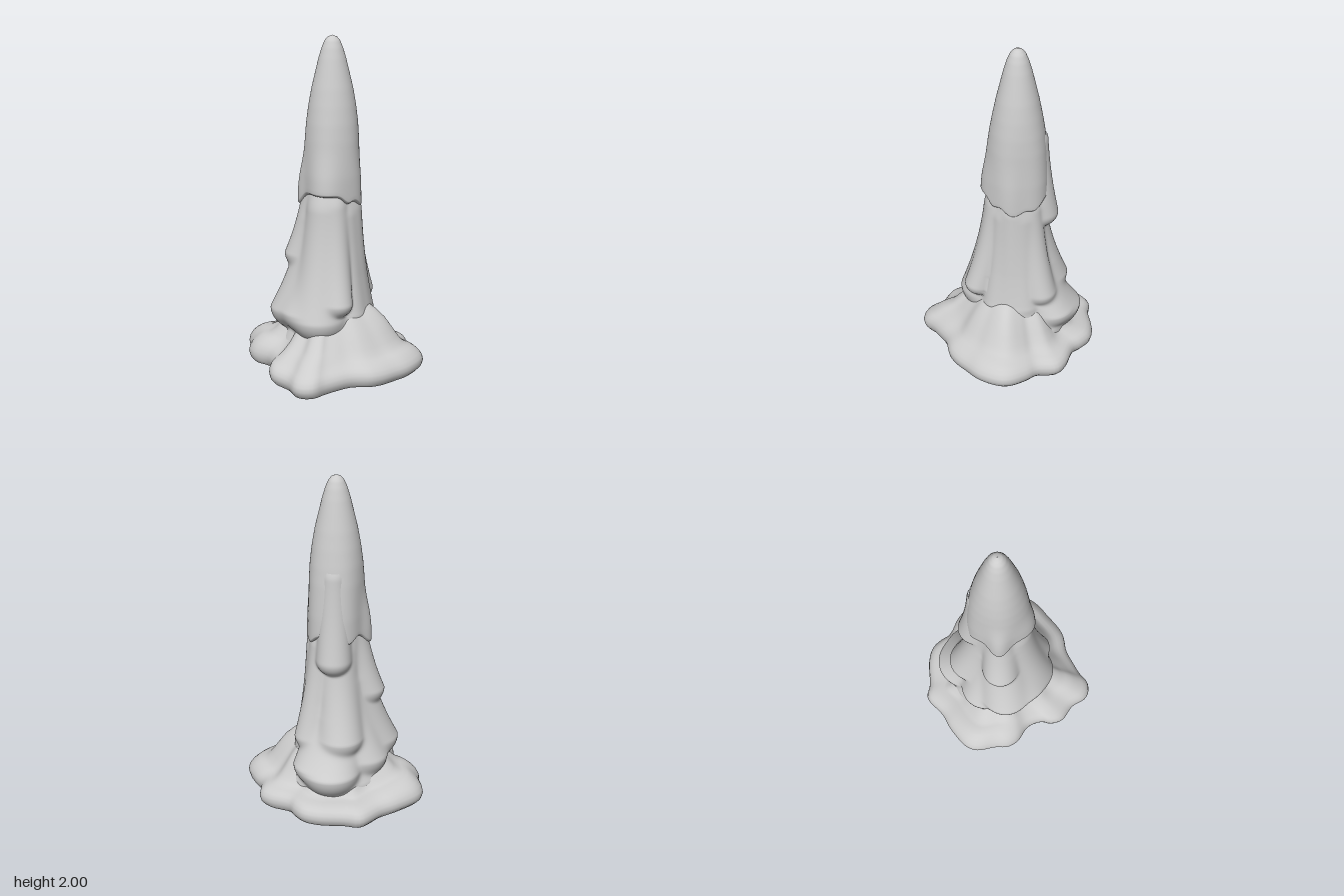
import * as THREE from 'three';

const CX = -0.012, CZ = -0.06; // axis of the column
const COLS = 144;
const { smoothstep, clamp } = THREE.MathUtils;

// Linear lookup in a list of [key, value] pairs (ascending keys)
function lookup(list, k) {
  if (k <= list[0][0]) return list[0][1];
  for (let i = 1; i < list.length; i++) {
    const [k0, v0] = list[i - 1], [k1, v1] = list[i];
    if (k <= k1) return v0 + (v1 - v0) * (k - k0) / (k1 - k0);
  }
  return list[list.length - 1][1];
}

// Signed angle difference wrapped to -PI..PI
const wrap = a => Math.atan2(Math.sin(a), Math.cos(a));
const rad = d => d * Math.PI / 180;
const bump = (a, deg, width) => Math.exp(-((wrap(a - rad(deg)) / rad(width)) ** 2));

// Closed surface of rings from bottom to top; point(u, row) gives [x, y, z]
function loft(rows, point) {
  const pos = [], idx = [];
  for (let i = 0; i < rows; i++) {
    for (let j = 0; j < COLS; j++) pos.push(...point(j / COLS, i));
  }
  for (let i = 0; i < rows - 1; i++) {
    for (let j = 0; j < COLS; j++) {
      const a = i * COLS + j, b = i * COLS + (j + 1) % COLS;
      idx.push(a, b, a + COLS, b, b + COLS, a + COLS);
    }
  }
  const g = new THREE.BufferGeometry();
  g.setAttribute('position', new THREE.Float32BufferAttribute(pos, 3));
  g.setIndex(idx);
  g.computeVertexNormals();
  return g;
}

// Wax runs: [azimuth (0 front, 90 left), bottom y, top y, half width, reach at bulb, reach at top]
const RUNS = [
  [-15, 0.22, 1.2, 0.16, 0.35, 0.185],
  [17, 0.39, 1.2, 0.085, 0.32, 0.175],
  [-84, 0.62, 1.25, 0.105, 0.283, 0.165],
  [-76, 0.25, 1.1, 0.15, 0.372, 0.17],
  [-43, 0.26, 1.0, 0.15, 0.345, 0.16],
  [-115, 0.19, 0.95, 0.15, 0.335, 0.16],
  [-164, 0.36, 1.15, 0.13, 0.315, 0.16],
  [137, 0.38, 1.2, 0.09, 0.29, 0.165],
  [180, 0.13, 0.7, 0.17, 0.395, 0.2],
  [156, 0.19, 0.75, 0.13, 0.36, 0.18],
  [-178, 0.86, 1.6, 0.1, 0.243, 0.17],
  [80, 0.26, 1.2, 0.11, 0.235, 0.17],
  [48, 0.3, 1.15, 0.09, 0.245, 0.165],
  [108, 0.3, 1.15, 0.09, 0.245, 0.165],
];
const CORE = [[0.1, 0.33], [0.2, 0.31], [0.3, 0.26], [0.4, 0.225], [0.6, 0.185],
  [0.8, 0.165], [1.1, 0.15], [1.4, 0.1], [1.5, 0.08]];

// Distance from the axis to the far side of one run's round section
function runReach([deg, yb, yt, w, reach, topReach], a, y) {
  if (y <= yb || y >= yt) return 0;
  const d = wrap(a - rad(deg));
  if (Math.abs(d) > 1.5) return 0;
  const bulbY = yb + w * 0.9;
  const u = clamp((y - bulbY) / (yt - bulbY), 0, 1);
  const width = w * (1 - 0.35 * u);
  // The top of each run sinks back into the column
  const sink = 0.05 * smoothstep(u, 0.75, 1);
  const centre = topReach + (reach - topReach) * (1 - u) ** 1.9 - width - sink;
  const t = Math.min(1, (y - yb) / (w * 0.9));
  const section = width * Math.sqrt(1 - (1 - t) ** 2);
  const h = section ** 2 - (centre * Math.sin(d)) ** 2;
  return h > 0 ? centre * Math.cos(d) + Math.sqrt(h) : 0;
}

function columnGeometry() {
  const rows = 140, power = 18;
  return loft(rows, (u, i) => {
    const a = u * Math.PI * 2, y = 0.1 + 1.38 * i / (rows - 1);
    // Smooth union of the core and all runs
    let sum = lookup(CORE, y) ** power;
    for (const run of RUNS) sum += runReach(run, a, y) ** power;
    const r = sum ** (1 / power);
    return [CX + r * Math.sin(a), y, CZ + r * Math.cos(a)];
  });
}

// Pointed upper shell with a scalloped, rolled-in hem
const CAP = [[1.0, 0.178], [1.2, 0.175], [1.4, 0.164], [1.5, 0.154], [1.6, 0.139], [1.7, 0.12],
  [1.8, 0.096], [1.87, 0.079], [1.93, 0.061], [1.97, 0.044], [1.99, 0.027], [2.0, 0.0005]];

function capGeometry() {
  const rows = 70, roll = 6;
  return loft(rows, (u, i) => {
    const a = u * Math.PI * 2;
    const drips = bump(a, -86, 22) + bump(a, 85, 28) + 0.6 * bump(a, 128, 18)
      + 0.5 * bump(a, -150, 20) + 0.5 * bump(a, 40, 14);
    const hem = 1.11 - 0.085 * drips;
    const t = Math.max(0, (i - roll) / (rows - 1 - roll));
    let y = hem + (2 - hem) * (1 - (1 - t) ** 1.5);
    const low = smoothstep(1.75 - y, 0, 0.6);
    const skirt = smoothstep(1.4 - y, 0, 0.32);
    let r = lookup(CAP, y) * (1 + 0.065 * Math.cos(2 * a) * low + 0.02 * Math.cos(5 * a + 0.6) * low);
    r += skirt * (0.034 * bump(a, -86, 20) + 0.01 * bump(a, 80, 22) + 0.022 * bump(a, -5, 35));
    if (i < roll) { // rolled edge
      const q = (roll - i) / roll * Math.PI / 2;
      y -= 0.025 * Math.sin(q);
      r -= 0.065 * (1 - Math.cos(q));
    }
    return [CX + r * Math.sin(a), y, CZ + r * Math.cos(a)];
  });
}

// Outline of the puddle (x, z), from the back round to the model's left
const OUTLINE = [
  [-0.22, -0.52], [-0.13, -0.515], [0.03, -0.535], [0.12, -0.52], [0.18, -0.47], [0.22, -0.42],
  [0.35, -0.37], [0.41, -0.32], [0.43, -0.2], [0.48, -0.14], [0.53, -0.06], [0.545, 0],
  [0.53, 0.07], [0.48, 0.16], [0.41, 0.23], [0.34, 0.3], [0.28, 0.34], [0.17, 0.37],
  [0.09, 0.42], [0.02, 0.47], [-0.03, 0.52], [-0.09, 0.53], [-0.14, 0.51], [-0.2, 0.43],
  [-0.3, 0.37], [-0.33, 0.3], [-0.325, 0.24], [-0.37, 0.15], [-0.47, 0.09], [-0.51, 0.03],
  [-0.52, -0.05], [-0.55, -0.17], [-0.53, -0.24], [-0.42, -0.35], [-0.33, -0.41],
].reverse();

// Puddle section: [scale of outline, y], from the underside over the rim to the mound
const SECTION = [[0.001, 0.035], [0.4, 0.032], [0.75, 0.025], [0.88, 0.022], [0.95, 0.032],
  [0.985, 0.052], [1, 0.08], [0.99, 0.105], [0.96, 0.125], [0.92, 0.138], [0.87, 0.147],
  [0.82, 0.162], [0.77, 0.187], [0.72, 0.22], [0.66, 0.262], [0.58, 0.315], [0.48, 0.37], [0.36, 0.43],
  [0.2, 0.46]];

function puddleGeometry() {
  const curve = new THREE.CatmullRomCurve3(
    OUTLINE.map(([x, z]) => new THREE.Vector3(x, 0, z)), true, 'centripetal');
  const ring = curve.getSpacedPoints(COLS);
  return loft(SECTION.length, (u, i) => {
    const p = ring[Math.round(u * COLS)];
    let [s, y] = SECTION[i];
    const a = Math.atan2(p.x, p.z);
    // Gentle waves, a raised right rim and a low front
    const edge = smoothstep(s, 0.4, 0.95);
    y += edge * (0.018 * bump(a, -100, 40) - 0.02 * bump(a, -10, 35) + 0.006 * Math.sin(5 * a));
    if (i > 7) {
      // Folds on both sides, a hollow at the back, and a lower mound away from the left
      y += 0.02 * bump(a, 75, 40) * Math.exp(-(((s - 0.87) / 0.06) ** 2));
      y += 0.035 * bump(a, -95, 30) * Math.exp(-(((s - 0.84) / 0.1) ** 2));
      y -= 0.05 * bump(a, 178, 50) * Math.exp(-(((s - 0.7) / 0.1) ** 2));
      y -= (0.045 * bump(a, -30, 40) + 0.06 * bump(a, -135, 45)) * smoothstep(0.85 - s, 0, 0.25);
      y += 0.03 * bump(a, -8, 25) * Math.exp(-(((s - 0.8) / 0.12) ** 2));
      y += 0.025 * bump(a, 85, 14) * Math.exp(-(((s - 0.55) / 0.15) ** 2));
    }
    const k = 1 - s; // the mound leans toward the column
    return [p.x * s + CX * k, Math.max(y, 0.003), p.z * s + CZ * 0.6 * k];
  });
}

export function createModel() {
  const wax = new THREE.MeshStandardMaterial({ color: 0xcccccc });
  wax.name = 'pale grey wax';
  const group = new THREE.Group();
  group.name = 'meltedColumn';
  const add = (name, geometry) => {
    const mesh = new THREE.Mesh(geometry, wax);
    mesh.name = name;
    group.add(mesh);
  };
  add('puddleBase', puddleGeometry());
  add('drippingColumn', columnGeometry());
  add('pointedCap', capGeometry());
  return group;
}
